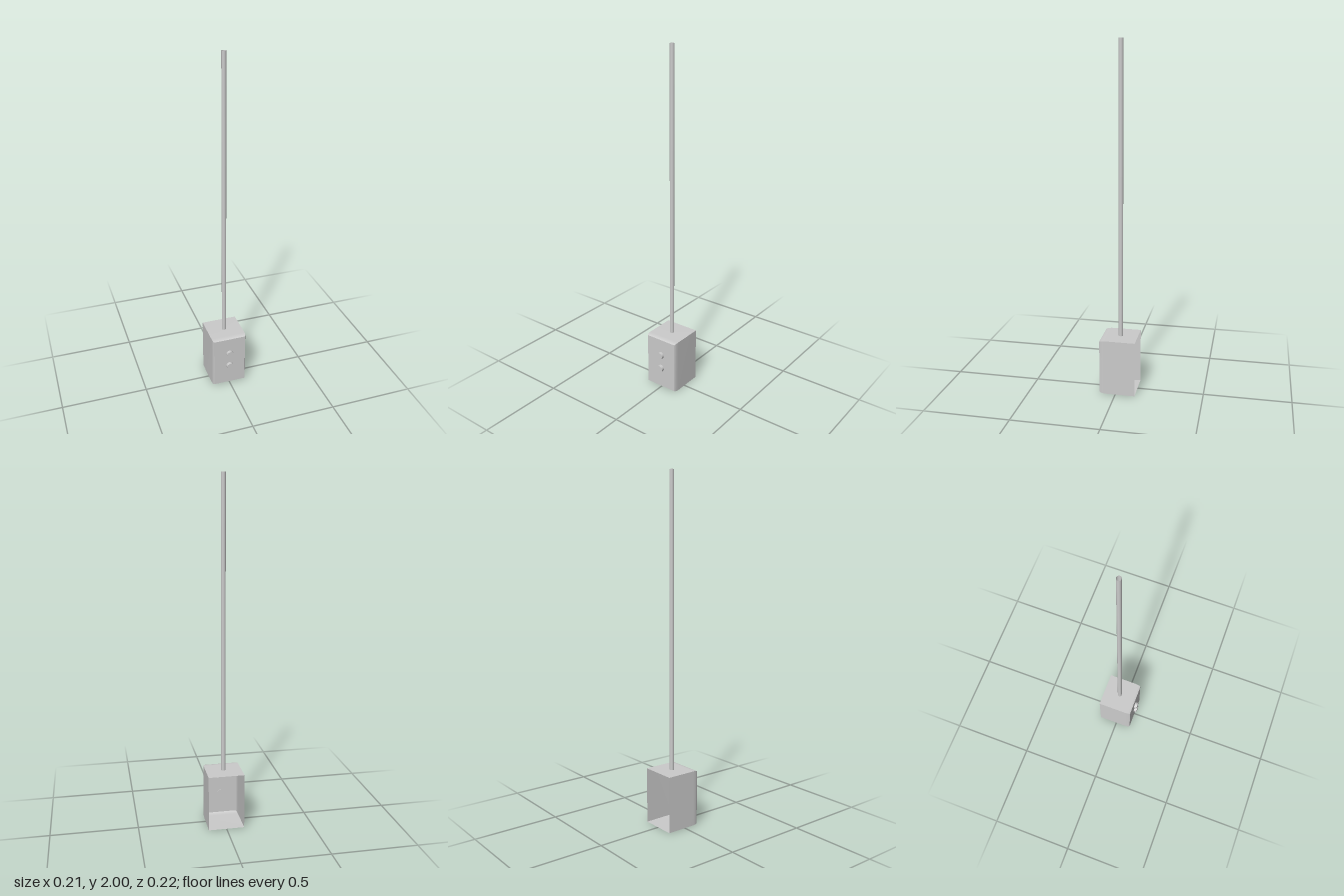
import * as THREE from 'three';

const material = new THREE.MeshStandardMaterial({ color: 0xcccccc, side: THREE.DoubleSide });

function addPart(group, name, geometry, x, y, z) {
  const mesh = new THREE.Mesh(geometry, material);
  mesh.name = name;
  mesh.position.set(x, y, z);
  group.add(mesh);
  return mesh;
}

// Thin shell, open at the back, whose walls curve in slightly towards the front
function housingGeometry(width, height) {
  const rings = [[-0.113, 0], [0.062, 0], [0.078, 0.0015], [0.088, 0.0035], [0.094, 0.007]]; // z, inset
  const segments = rings.length - 1;
  const geometry = new THREE.BoxGeometry(width, height, 1, 1, 1, segments);
  const position = geometry.attributes.position;
  for (let i = 0; i < position.count; i++) {
    const [z, inset] = rings[Math.round((position.getZ(i) + 0.5) * segments)];
    const x = position.getX(i), y = position.getY(i);
    position.setXYZ(i, x - Math.sign(x) * inset, y - Math.sign(y) * inset, z);
  }
  // The back face is the last group: leave it out
  const backStart = geometry.groups[5].start;
  geometry.setIndex(Array.from(geometry.index.array).slice(0, backStart));
  geometry.clearGroups();
  geometry.computeVertexNormals();
  return geometry;
}

export function createModel() {
  const model = new THREE.Group();
  model.name = 'switchBoxOnConduit';

  addPart(model, 'housing', housingGeometry(0.208, 0.325), 0, 0.1625, 0);

  // Two push buttons on the front
  for (const [name, y] of [['upperButton', 0.217], ['lowerButton', 0.13]]) {
    const button = new THREE.CylinderGeometry(0.021, 0.021, 0.019, 24);
    button.rotateX(Math.PI / 2);
    addPart(model, name, button, 0, y, 0.1025);
  }

  // Hollow conduit rising from just inside the housing
  const bottom = 0.3, top = 2;
  const conduit = new THREE.CylinderGeometry(0.013, 0.013, top - bottom, 16, 1, true);
  addPart(model, 'conduit', conduit, 0, (top + bottom) / 2, -0.013);

  return model;
}
